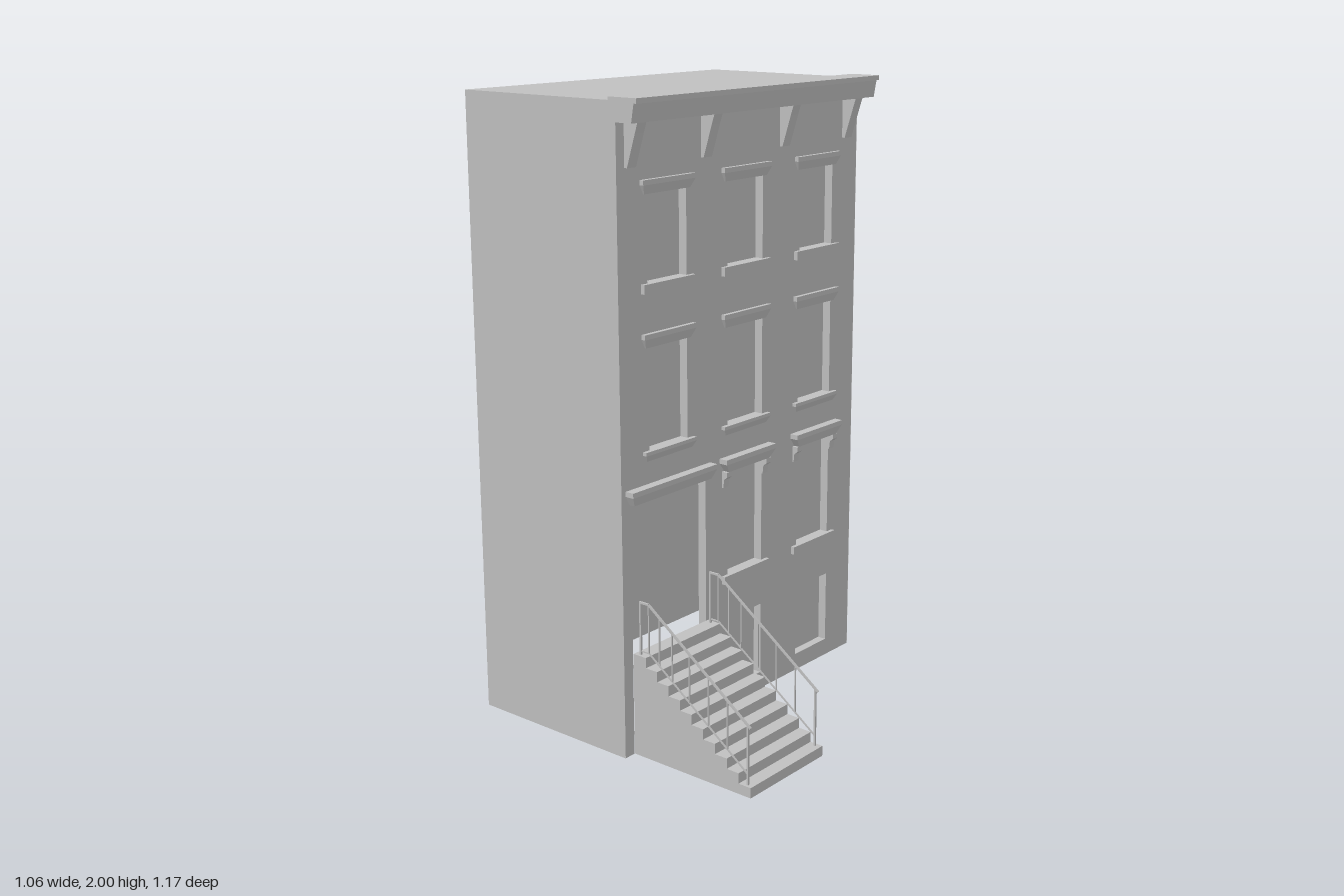
import * as THREE from 'three';

export function createModel() {
  const model = new THREE.Group();
  const stone = new THREE.MeshStandardMaterial({ color: 0xc0c0c0, side: THREE.DoubleSide });
  stone.name = 'grey stone';

  const FACE = 0.075, BACK = -0.533, TOP = 1.99, ZP = 0.584, ZN = -0.582, REVEAL = 0.03;
  const depth = FACE - BACK, width = ZP - ZN, midX = (FACE + BACK) / 2, midZ = (ZP + ZN) / 2;

  function add(name, geometry, x = 0, y = 0, z = 0, rx = 0, ry = 0) {
    const mesh = new THREE.Mesh(geometry, stone);
    mesh.name = name;
    mesh.position.set(x, y, z);
    mesh.rotation.set(rx, ry, 0);
    model.add(mesh);
    return mesh;
  }

  // Profile in x/y, extruded along z around a centre
  function extrudeZ(name, points, z, w) {
    const shape = new THREE.Shape(points.map(([x, y]) => new THREE.Vector2(x, y)));
    return add(name, new THREE.ExtrudeGeometry(shape, { depth: w, bevelEnabled: false }), 0, 0, z - w / 2);
  }

  // Wall trim whose lower edge may draw in towards the wall
  function trim(name, z, y0, y1, w, out, inset = 0, outLow = out) {
    const h = y1 - y0;
    const g = new THREE.BoxGeometry(out, h, w, 1, 2, 1);
    const p = g.attributes.position;
    for (let i = 0; i < p.count; i++) {
      const y = p.getY(i);
      if (y < -h / 4) {
        if (p.getX(i) > 0) p.setX(i, outLow - out / 2);
        p.setZ(i, p.getZ(i) - Math.sign(p.getZ(i)) * inset);
      } else if (y < h / 4) p.setY(i, h * 0.15);
    }
    const flat = g.toNonIndexed();
    flat.computeVertexNormals();
    add(name, flat, FACE + out / 2, (y0 + y1) / 2, z);
  }

  // Hollow body, open underneath
  add('roof', new THREE.PlaneGeometry(depth, width), midX, TOP, midZ, -Math.PI / 2);
  add('leftWall', new THREE.PlaneGeometry(depth, TOP), midX, TOP / 2, ZP);
  add('rightWall', new THREE.PlaneGeometry(depth, TOP), midX, TOP / 2, ZN, 0, Math.PI);
  add('rearWall', new THREE.PlaneGeometry(width, TOP), BACK, TOP / 2, midZ, 0, -Math.PI / 2);

  // Windows: z centre, bottom, top
  const columns = [0.371, 0.005, -0.361], W = 0.175;
  const windows = [];
  columns.forEach((z, i) => {
    windows.push([z, 1.458, 1.718], [z, 0.954, 1.267]);
    if (i > 0) windows.push([z, 0.456, 0.806], [z, 0.058, 0.302]);
  });

  // Facade with doorway notch and window holes, drawn with u = -z
  const e = 0.001;
  const outline = [[-ZP + e, 0], [-0.543, 0], [-0.543, 0.806], [-0.199, 0.806], [-0.199, 0],
    [-ZN - e, 0], [-ZN - e, TOP - e], [-ZP + e, TOP - e]];
  const facade = new THREE.Shape(outline.map(([u, y]) => new THREE.Vector2(u, y)));
  for (const [z, y0, y1] of windows) {
    const a = -z - W / 2, b = -z + W / 2;
    facade.holes.push(new THREE.Path([[a, y0], [a, y1], [b, y1], [b, y0]]
      .map(([u, y]) => new THREE.Vector2(u, y))));
    add('windowPane', new THREE.PlaneGeometry(W, y1 - y0),
      FACE - REVEAL + 0.001, (y0 + y1) / 2, z, 0, Math.PI / 2);
  }
  add('facade', new THREE.ExtrudeGeometry(facade, { depth: REVEAL, bevelEnabled: false }),
    FACE - REVEAL, 0, 0, 0, Math.PI / 2);

  // Sills and lintels
  columns.forEach((z, i) => {
    trim('topSill', z, 1.43, 1.458, 0.23, 0.013);
    trim('topLintel', z, 1.718, 1.76, 0.23, 0.014, 0.014, 0.004);
    trim('middleSill', z, 0.923, 0.954, 0.23, 0.014, 0.012, 0.005);
    trim('middleLintel', z, 1.267, 1.31, 0.23, 0.014, 0.014, 0.004);
    if (i === 0) return;
    trim('parlorSill', z, 0.43, 0.456, 0.23, 0.013);
    trim('parlorHood', z, 0.806, 0.851, 0.25, 0.03, 0.022, 0.02);
    for (const s of [-1, 1]) {
      extrudeZ('hoodBracket', [[FACE, 0.753], [0.08, 0.753], [0.083, 0.78], [0.095, 0.79],
        [0.095, 0.806], [FACE, 0.806]], z + s * 0.1, 0.026);
    }
  });
  trim('doorHood', 0.371, 0.806, 0.851, 0.387, 0.03, 0.016, 0.02);

  // Cornice and its brackets
  extrudeZ('cornice', [[0.051, 1.985], [FACE, 1.93], [0.138, 1.93], [0.148, 1.985],
    [0.157, 1.985], [0.157, 2], [0.051, 2]], midZ, 1.172);
  for (const z of [0.53, 0.196, -0.186, -0.519]) {
    extrudeZ('corniceBracket', [[FACE, 1.8], [0.085, 1.8], [0.117, 1.9], [0.127, 1.93],
      [FACE, 1.93]], z, 0.038);
  }

  // Stoop: ten steps, open underneath
  const S0 = 0.188, S1 = 0.541, N = 10, RUN = 0.045, RISE = 0.033, X0 = 0.53;
  const sw = S1 - S0, sz = (S0 + S1) / 2;
  const side = [[FACE, 0], [X0, 0]];
  for (let i = 0; i < N; i++) {
    const x = X0 - i * RUN, y = (i + 1) * RISE;
    const inner = i === N - 1 ? FACE : x - RUN;
    side.push([x, y], [inner, y]);
    add('riser', new THREE.PlaneGeometry(sw, RISE), x, y - RISE / 2, sz, 0, Math.PI / 2);
    add('tread', new THREE.PlaneGeometry(x - inner, sw), (x + inner) / 2, y, sz, -Math.PI / 2);
  }
  const sideShape = new THREE.Shape(side.map(([x, y]) => new THREE.Vector2(x, y)));
  add('stoopSide', new THREE.ShapeGeometry(sideShape), 0, 0, S1);
  add('stoopSide', new THREE.ShapeGeometry(sideShape), 0, 0, S0);

  // Railings
  function bar(name, x0, y0, x1, y1, z, t) {
    const len = Math.hypot(x1 - x0, y1 - y0);
    const m = add(name, new THREE.BoxGeometry(len, t, t), (x0 + x1) / 2, (y0 + y1) / 2, z);
    m.rotation.z = Math.atan2(y1 - y0, x1 - x0);
  }
  const slope = (x, a, b) => a + (b - a) * Math.max(0, (x - 0.128) / (0.51 - 0.128));
  for (const z of [0.201, 0.529]) {
    bar('handrail', 0.092, 0.498, 0.128, 0.498, z, 0.006);
    bar('handrail', 0.128, 0.498, 0.52, slope(0.52, 0.498, 0.221), z, 0.006);
    bar('bottomRail', 0.095, 0.342, 0.128, 0.342, z, 0.004);
    bar('bottomRail', 0.128, 0.342, 0.51, 0.066, z, 0.004);
    bar('post', 0.095, 0.33, 0.095, 0.498, z, 0.006);
    bar('post', 0.51, RISE, 0.51, 0.221, z, 0.006);
    for (const x of [0.128, 0.17, 0.22, 0.287, 0.36, 0.433]) {
      bar('baluster', x, slope(x, 0.342, 0.066), x, slope(x, 0.498, 0.221), z, 0.004);
    }
  }
  return model;
}
